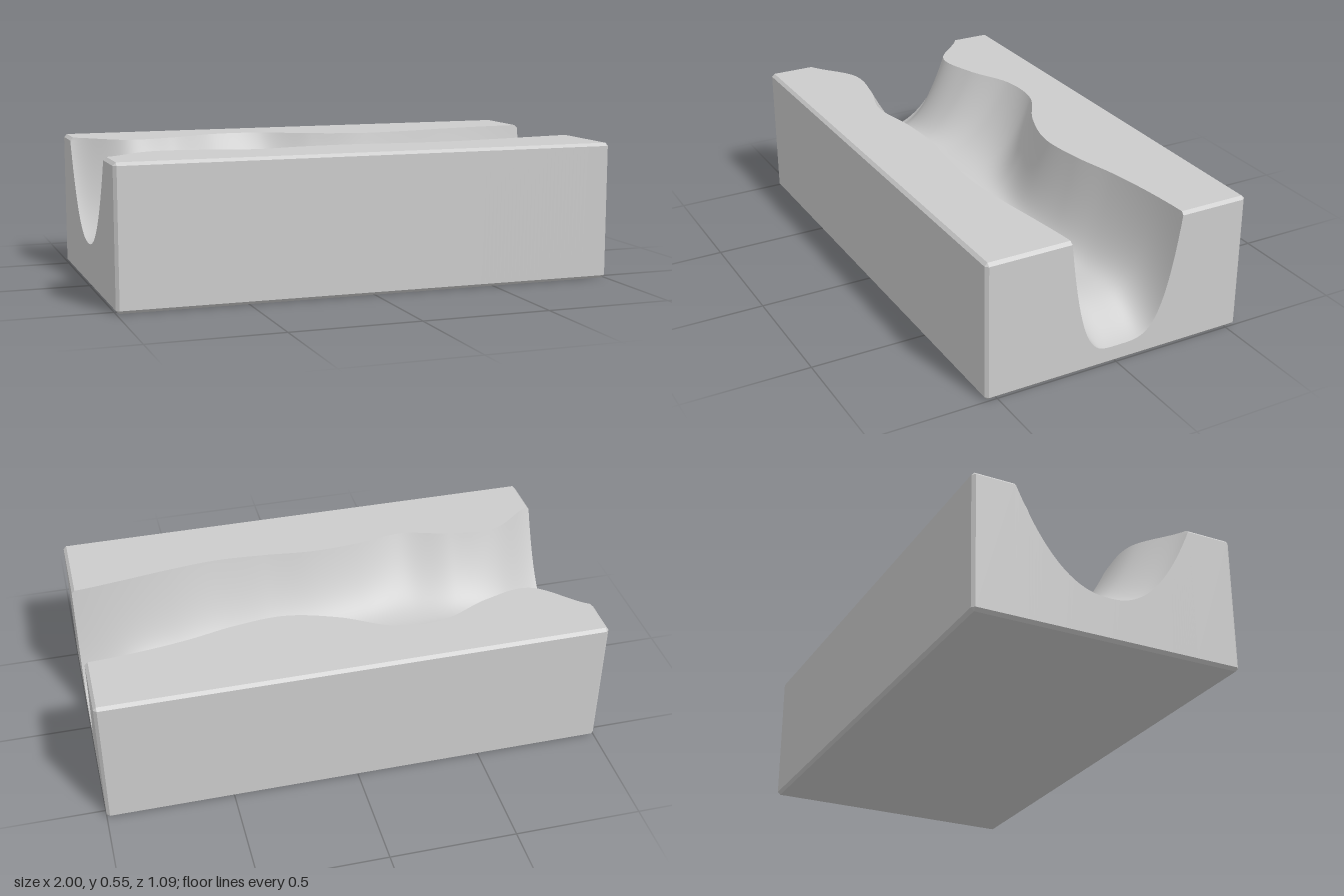
import * as THREE from 'three';
import { toCreasedNormals } from 'three/addons/utils/BufferGeometryUtils.js';

const HEIGHT = 0.55, HALF_DEPTH = 0.545, BEVEL = 0.012;

// Smooth function of x through evenly spaced values from x = -1 to x = 1
function along(values) {
  const curve = new THREE.SplineCurve(values.map((v, i) => new THREE.Vector2(i, v)));
  return (x) => curve.getPoint(THREE.MathUtils.clamp((x + 1) / 2, 0, 1)).y;
}

// Channel shape: rim positions, floor height and wall steepness
const frontRim = along([0.36, 0.23, 0.24, 0.29, 0.26, 0.25, 0.27, 0.28, 0.26, 0.23, 0.205]);
const backRim = along([-0.38, -0.215, -0.245, -0.33, -0.325, -0.22, -0.16, -0.175, -0.22, -0.25, -0.265]);
const floorY = along([0.17, 0.25, 0.283, 0.275, 0.265, 0.25, 0.235, 0.215, 0.195, 0.18, 0.07]);
const steepness = along([2.3, 1.9, 1.8, 2.2, 2.5, 2.5, 2.5, 2.8, 3.2, 4, 4]);

// Columns [z, top y, bottom y] from front to back at station x
function columns(x, inset) {
  const front = frontRim(x), back = backRim(x), low = floorY(x), power = steepness(x);
  const cols = [[HALF_DEPTH, HEIGHT - BEVEL, BEVEL], [HALF_DEPTH - BEVEL, HEIGHT, 0]];
  const steps = 56;
  for (let k = 0; k <= steps; k++) {
    const t = Math.sin((k / steps - 0.5) * Math.PI);
    const z = t < 0 ? -t * front : t * back;
    cols.push([z, low + (HEIGHT - low) * Math.abs(t) ** power, 0]);
  }
  cols.push([-HALF_DEPTH + BEVEL, HEIGHT, 0], [-HALF_DEPTH, HEIGHT - BEVEL, BEVEL]);
  const limit = HALF_DEPTH - inset;
  return cols.map(([z, top, bottom]) => [
    THREE.MathUtils.clamp(z, -limit, limit),
    Math.min(top, HEIGHT - inset),
    Math.max(bottom, inset),
  ]);
}

function channelBlockGeometry() {
  // Stations along the block, with a chamfer ring at each end
  const stations = [[-1, BEVEL]];
  const count = 120;
  for (let i = 0; i <= count; i++) {
    stations.push([(1 - BEVEL) * (2 * i / count - 1), 0]);
  }
  stations.push([1, BEVEL]);

  const positions = [], index = [];
  let m = 0;
  for (const [x, inset] of stations) {
    const cols = columns(x, inset);
    m = cols.length;
    for (const [z, top] of cols) positions.push(x, top, z);
    for (const [z, , bottom] of cols.reverse()) positions.push(x, bottom, z);
  }
  const ring = 2 * m;
  const quad = (a, b, c, d) => index.push(a, b, c, a, c, d);

  // Skin between neighbouring rings
  for (let i = 0; i < stations.length - 1; i++) {
    for (let j = 0; j < ring; j++) {
      const k = (j + 1) % ring, a = i * ring, b = a + ring;
      quad(a + j, b + j, b + k, a + k);
    }
  }
  // End faces
  const last = (stations.length - 1) * ring;
  for (let j = 0; j < m - 1; j++) {
    const under = ring - 1 - j;
    quad(last + j, last + under, last + under - 1, last + j + 1);
    quad(j, j + 1, under - 1, under);
  }

  const geometry = new THREE.BufferGeometry();
  geometry.setAttribute('position', new THREE.Float32BufferAttribute(positions, 3));
  geometry.setIndex(index);
  return toCreasedNormals(geometry, 0.6);
}

export function createModel() {
  const group = new THREE.Group();
  group.name = 'channelBlock';
  const block = new THREE.Mesh(
    channelBlockGeometry(),
    new THREE.MeshStandardMaterial({ color: 0xcccccc })
  );
  block.name = 'blockWithChannel';
  group.add(block);
  return group;
}
